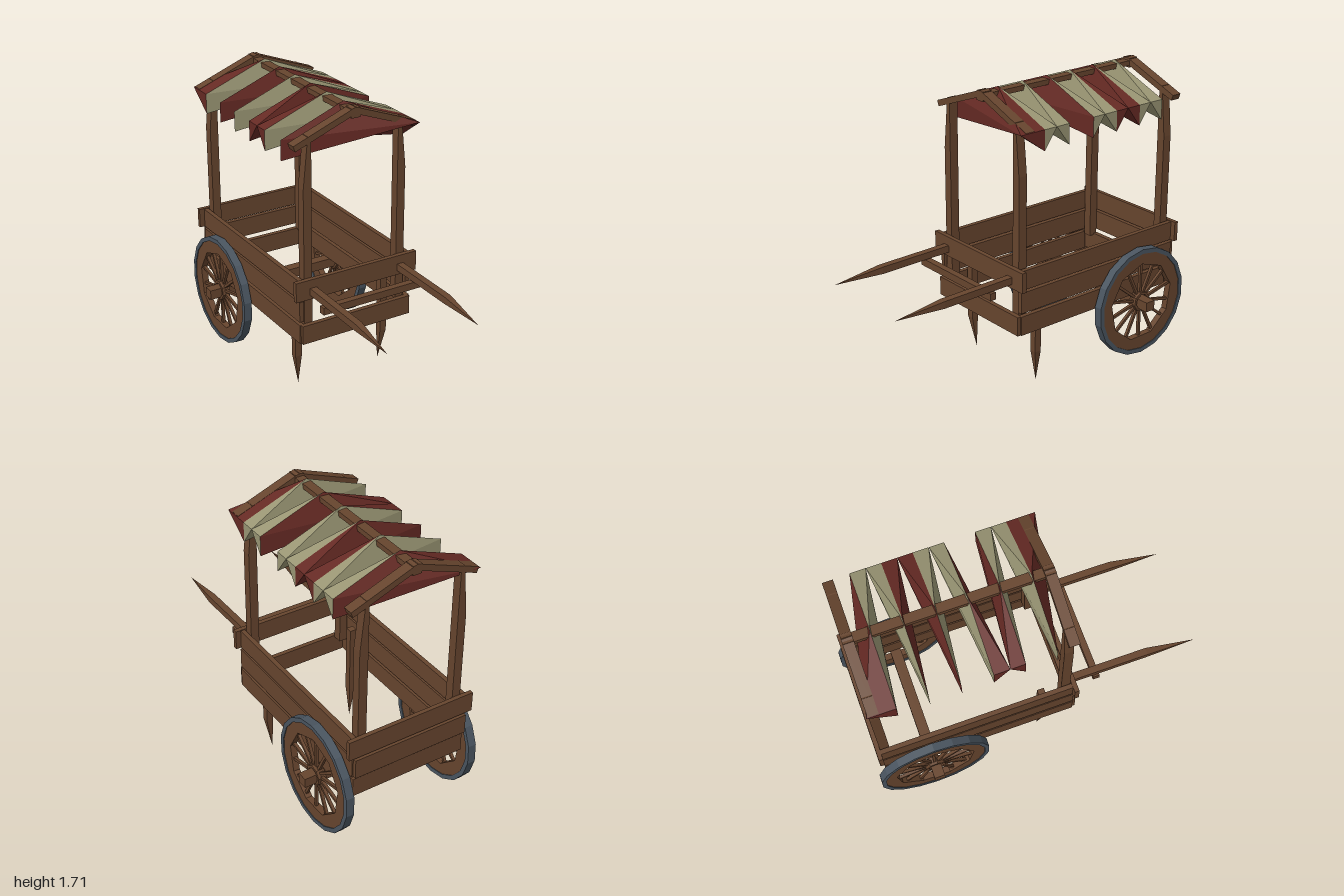
import * as THREE from 'three';

const mat = (color, side = THREE.FrontSide) =>
  new THREE.MeshStandardMaterial({ color, side, flatShading: true });
const wood = mat(0x67452e);
const iron = mat(0x4a5560);
const red = mat(0x662a24, THREE.DoubleSide);
const cream = mat(0x9a9674, THREE.DoubleSide);

function add(parent, name, geo, material = wood) {
  const m = new THREE.Mesh(geo, material);
  m.name = name;
  parent.add(m);
  return m;
}

// Box given by its min and max along each axis
function block(parent, name, x0, x1, y0, y1, z0, z1) {
  const g = new THREE.BoxGeometry(x1 - x0, y1 - y0, z1 - z0);
  g.translate((x0 + x1) / 2, (y0 + y1) / 2, (z0 + z1) / 2);
  return add(parent, name, g);
}

// Square pole along +z: full section from start to shoulder, then a sharp point
function stake(parent, name, size, shoulder, length, tipX, tipY) {
  const g = new THREE.BoxGeometry(size, size, length, 1, 1, 2);
  const p = g.attributes.position;
  for (let i = 0; i < p.count; i++) {
    const z = p.getZ(i);
    if (z > length * 0.4) p.setXYZ(i, tipX, tipY, length);
    else p.setZ(i, z > -length * 0.4 ? shoulder : 0);
  }
  g.computeVertexNormals();
  return add(parent, name, g);
}

function ring(outer, inner, width, sides, innerSides) {
  const circle = (C, r, n) => {
    const c = new C();
    for (let i = 0; i < n; i++) {
      const a = (i / n) * Math.PI * 2 + 0.2;
      c[i ? 'lineTo' : 'moveTo'](r * Math.cos(a), r * Math.sin(a));
    }
    c.closePath();
    return c;
  };
  const shape = circle(THREE.Shape, outer, sides);
  shape.holes.push(circle(THREE.Path, inner, innerSides));
  const g = new THREE.ExtrudeGeometry(shape, { depth: width, bevelEnabled: false });
  g.translate(0, 0, -width / 2);
  return g.rotateY(Math.PI / 2);
}

function makeWheel(side) {
  const wheel = new THREE.Group();
  wheel.name = side > 0 ? 'leftWheel' : 'rightWheel';
  add(wheel, 'tyre', ring(0.337, 0.31, 0.05, 18, 18), iron);
  add(wheel, 'rim', ring(0.318, 0.243, 0.04, 18, 9));
  add(wheel, 'hub', ring(0.062, 0.046, 0.05, 8, 8));
  for (let i = 0; i < 14; i++) {
    const spoke = new THREE.BoxGeometry(0.018, 0.2, 0.016);
    spoke.translate(0, 0.15, 0).rotateX((i / 14) * Math.PI * 2);
    add(wheel, 'spoke', spoke);
  }
  wheel.position.set(side * 0.405, 0.345, -0.66);
  return wheel;
}

// One folded cloth wedge: broad at eave side s, narrowing to the opposite eave
function clothWedge(parent, zMid, zTip, s, material) {
  const R = [0, 1.71, zMid], A = [s * 0.395, 1.56, zTip];
  const U = [s * 0.395, 1.56, zMid], V = [s * 0.395, 1.44, zMid];
  const O1 = [-s * 0.395, 1.56, zMid], O2 = [-s * 0.395, 1.44, zMid];
  const faces = [R, A, U, A, V, U, R, O1, A, O1, O2, A, A, V, O1];
  // Keep the outward side counter-clockwise on both halves
  if ((zTip > zMid) !== (s > 0))
    for (let i = 0; i < faces.length; i += 3)
      [faces[i + 1], faces[i + 2]] = [faces[i + 2], faces[i + 1]];
  const g = new THREE.BufferGeometry();
  g.setAttribute('position', new THREE.Float32BufferAttribute(faces.flat(), 3));
  g.computeVertexNormals();
  add(parent, 'awningStripe', g, material);
}

export function createModel() {
  const cart = new THREE.Group();
  cart.name = 'marketCart';

  // Cart bed: slatted sides and ends
  const bed = new THREE.Group();
  bed.name = 'bed';
  cart.add(bed);
  for (const s of [-1, 1]) {
    const a = Math.min(s * 0.34, s * 0.368), b = Math.max(s * 0.34, s * 0.368);
    block(bed, 'sidePlank', a, b, 0.65, 0.765, -0.945, 0.22);
    block(bed, 'sidePlank', a, b, 0.51, 0.635, -0.945, 0.22);
    block(bed, 'sidePlank', a, b, 0.375, 0.49, -0.9, 0.22);
  }
  block(bed, 'frontPlank', -0.4, 0.4, 0.65, 0.77, 0.212, 0.24);
  block(bed, 'frontPlank', -0.36, 0.36, 0.375, 0.49, 0.212, 0.24);
  block(bed, 'backPlank', -0.4, 0.4, 0.65, 0.77, -0.965, -0.94);
  block(bed, 'backPlank', -0.36, 0.36, 0.515, 0.635, -0.968, -0.94);
  block(bed, 'backPlank', -0.36, 0.36, 0.375, 0.49, -0.945, -0.915);

  // Axle and wheels
  block(cart, 'axle', -0.5, 0.5, 0.31, 0.37, -0.692, -0.628);
  for (const s of [-1, 1]) cart.add(makeWheel(s));

  // Pulling shafts, crossbar and pointed front legs
  for (const s of [-1, 1]) {
    const shaft = stake(cart, 'shaft', 0.042, 0.52, 0.82, -0.015, -0.012);
    shaft.position.set(s * 0.29, 0.698, 0.18);
    shaft.rotation.x = 0.015;
    const leg = stake(cart, 'leg', 0.042, 0.43, 0.63, -s * 0.015, -0.015);
    leg.rotation.x = Math.PI / 2;
    leg.position.set(s * 0.292, 0.63, 0.05);
  }
  block(cart, 'crossbar', -0.32, 0.32, 0.625, 0.668, 0.36, 0.4);

  // Roof frame: posts with narrowed tops, rafters and ridge beam
  const frame = new THREE.Group();
  frame.name = 'roofFrame';
  cart.add(frame);
  for (const z of [0.182, -0.912]) {
    for (const s of [-1, 1]) {
      const post = new THREE.BoxGeometry(0.052, 1.12, 0.055, 1, 3, 1);
      const p = post.attributes.position;
      for (let i = 0; i < p.count; i++) {
        const top = p.getY(i) > 0.5, upper = p.getY(i) > 0.1;
        if (top && p.getX(i) * s > 0) p.setX(i, -s * 0.005);
        else if (upper && !top) p.setY(i, 0.26);
      }
      post.computeVertexNormals();
      add(frame, 'post', post).position.set(s * 0.305, 1.04, z);
      const rafter = new THREE.BoxGeometry(0.415, 0.036, 0.06);
      rafter.rotateZ(-s * 0.36).translate(s * 0.19, 1.62, z);
      add(frame, 'rafter', rafter);
    }
    block(frame, 'ridgeBlock', -0.028, 0.028, 1.65, 1.705, z - 0.03, z + 0.03);
  }
  block(frame, 'ridgeBeam', -0.028, 0.028, 1.662, 1.692, -0.94, 0.21);

  // Striped awning: pairs of wedges meeting on a fold line
  const awning = new THREE.Group();
  awning.name = 'awning';
  cart.add(awning);
  const tips = [0.25, 0, -0.175, -0.35, -0.525, -0.7, -0.95];
  const broadOnRight = [3, 4, 11];
  for (let i = 0; i < 12; i++) {
    const fold = i >> 1;
    const zMid = 0.085 - 0.175 * fold;
    const color = (i + (fold & 1)) % 2 === 0 ? red : cream;
    clothWedge(awning, zMid, tips[fold + (i & 1)], broadOnRight.includes(i) ? -1 : 1, color);
  }
  return cart;
}
